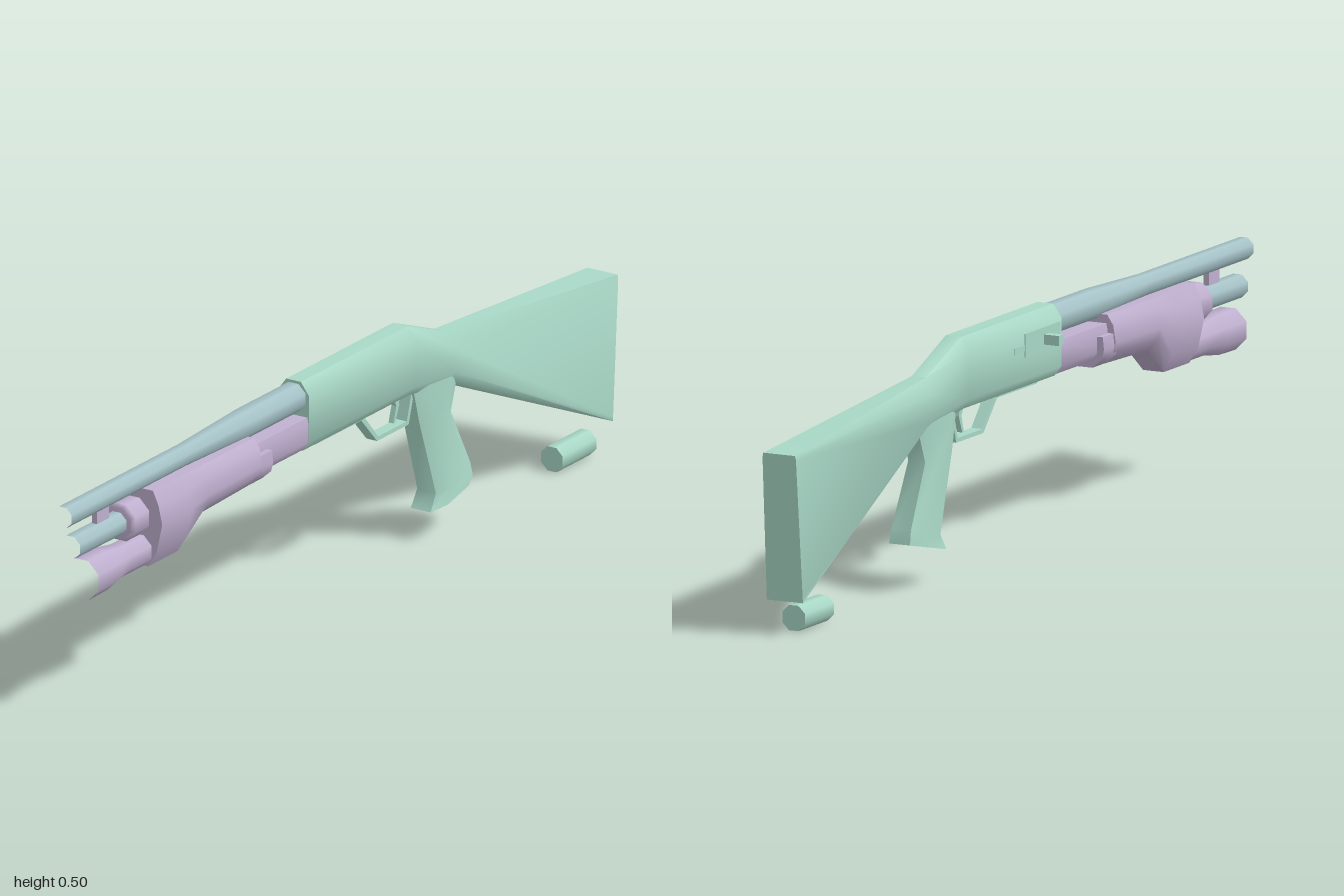
import * as THREE from 'three';
import { toCreasedNormals } from 'three/addons/utils/BufferGeometryUtils.js';

const CX = 0.007; // long axis of the model

const green = new THREE.MeshStandardMaterial({ color: 0xa9d8c7 });
green.name = 'mint green';
const purple = new THREE.MeshStandardMaterial({ color: 0xc0b0d0 });
purple.name = 'soft purple';
const steel = new THREE.MeshStandardMaterial({ color: 0xa6c3c8 });
steel.name = 'blue grey';

// Skin a row of closed cross-sections and cap both ends
function loft(rings) {
  const n = rings[0].length, pos = rings.flat(2), idx = [];
  for (let i = 0; i < rings.length - 1; i++) {
    for (let j = 0; j < n; j++) {
      const k = (j + 1) % n;
      const a = i * n + j, b = i * n + k, c = a + n, d = b + n;
      idx.push(a, c, b, b, c, d);
    }
  }
  const last = (rings.length - 1) * n;
  for (let j = 1; j < n - 1; j++) {
    idx.push(0, j, j + 1);
    idx.push(last, last + j + 1, last + j);
  }
  const g = new THREE.BufferGeometry();
  g.setAttribute('position', new THREE.Float32BufferAttribute(pos, 3));
  g.setIndex(idx);
  return toCreasedNormals(g, 0.9);
}

// Mirrored section: half lists [x, v] from bottom to top, v runs 0 (bottom) to 1 (top)
function section(zt, yt, zb, yb, half) {
  const point = (s) => ([x, v]) => [CX + s * x, yb + (yt - yb) * v, zb + (zt - zb) * v];
  return [...half.map(point(1)), ...[...half].reverse().map(point(-1))];
}

// Eight-sided tube along z from [radius, z] pairs, flat side up
function tube(profile, y) {
  const pts = profile.map(([r, z]) => new THREE.Vector2(r / Math.cos(Math.PI / 8), z));
  const g = new THREE.LatheGeometry(pts, 8, Math.PI / 8);
  g.rotateX(Math.PI / 2);
  g.translate(CX, y, 0);
  return g;
}

function box(x, y, z, w, h, d) {
  return new THREE.BoxGeometry(w, h, d).translate(x, y, z);
}

// Side outline in (z, y), extruded across x
function sidePlate(outline, width, hole) {
  const toShape = (p) => p.map(([z, y]) => new THREE.Vector2(-z, y));
  const shape = new THREE.Shape(toShape(outline));
  if (hole) shape.holes.push(new THREE.Path(toShape(hole)));
  const g = new THREE.ExtrudeGeometry(shape, { depth: width, bevelEnabled: false });
  return g.translate(0, 0, -width / 2).rotateY(Math.PI / 2).translate(CX, 0, 0);
}

export function createModel() {
  const group = new THREE.Group();
  const add = (name, geometry, material) => {
    const mesh = new THREE.Mesh(geometry, material);
    mesh.name = name;
    group.add(mesh);
    return mesh;
  };

  // Receiver flowing into the stock
  const receiver = [[0.022, 0], [0.038, 0.14], [0.038, 0.82], [0.018, 1]];
  const wrist = [[0.014, 0], [0.034, 0.25], [0.034, 0.72], [0.016, 1]];
  const butt = [[0.042, 0], [0.042, 0.03], [0.039, 0.97], [0.037, 1]];
  add('receiverAndStock', loft([
    section(0.145, 0.495, 0.145, 0.345, receiver),
    section(-0.25, 0.495, -0.25, 0.345, receiver),
    section(-0.4, 0.436, -0.41, 0.318, wrist),
    section(-1, 0.38, -0.975, 0.068, butt),
  ]), green);

  // Pistol grip: rings from top to bottom [front z, front y, back z, back y, half width]
  const grip = [
    [-0.265, 0.37, -0.44, 0.35, 0.03],
    [-0.275, 0.335, -0.425, 0.305, 0.031],
    [-0.29, 0.275, -0.408, 0.26, 0.033],
    [-0.348, 0.1, -0.475, 0.13, 0.038],
    [-0.326, 0.065, -0.482, 0.1, 0.041],
  ].map(([zf, yf, zb, yb, w]) => {
    const at = (x, t) => [CX + x * w, yf + (yb - yf) * t, zf + (zb - zf) * t];
    return [at(0.6, 0), at(1, 0.25), at(1, 0.75), at(0.6, 1),
      at(-0.6, 1), at(-1, 0.75), at(-1, 0.25), at(-0.6, 0)];
  });
  add('grip', loft(grip), green);

  // Trigger guard and trigger
  add('triggerGuard', sidePlate(
    [[-0.075, 0.35], [-0.145, 0.275], [-0.262, 0.275], [-0.285, 0.35]], 0.026,
    [[-0.094, 0.346], [-0.149, 0.284], [-0.255, 0.284], [-0.274, 0.346]]), green);
  add('trigger', sidePlate(
    [[-0.212, 0.35], [-0.227, 0.325], [-0.216, 0.29], [-0.223, 0.289],
      [-0.238, 0.325], [-0.232, 0.35]], 0.012), green);

  // Loading plate below, bolt, slot and charging handle on the right side
  add('loadingPlate', box(CX, 0.343, 0, 0.03, 0.008, 0.17), green);
  add('boltPlate', box(-0.031, 0.437, 0.06, 0.006, 0.05, 0.15), green);
  add('boltSlot', box(-0.031, 0.432, -0.035, 0.004, 0.014, 0.05), green);
  add('chargingHandle', box(-0.049, 0.436, 0.075, 0.038, 0.021, 0.02), green);

  // Barrel and magazine tube, open at the front
  add('barrel', tube([[0.03, 0.14], [0.03, 0.34], [0.022, 0.56], [0.022, 1]], 0.459), steel);
  add('magazineTube', tube([[0.024, 0.14], [0.024, 0.972]], 0.385), steel);

  // Magazine clamp and post up to the barrel
  add('magazineClamp', tube([[0, 0.732], [0.033, 0.732], [0.04, 0.74], [0.04, 0.79],
    [0.033, 0.8], [0, 0.8]], 0.385), purple);
  add('barrelPost', box(CX, 0.427, 0.86, 0.013, 0.044, 0.045), purple);

  // Slide arm between the fore-end and the receiver
  add('slideArm', loft([0.4, 0.14].map((z) => section(z, 0.42, z, 0.348,
    [[0.024, 0], [0.037, 0.25], [0.037, 0.8], [0.034, 1]]))), purple);

  // Fore-end: rear cradle, main body and deep front housing
  const slim = [[0.026, 0], [0.05, 0.25], [0.056, 0.45], [0.05, 0.8], [0.036, 1]];
  const deep = [[0.024, 0], [0.045, 0.2], [0.059, 0.58], [0.05, 0.82], [0.036, 1]];
  add('foreEnd', loft([
    section(0.72, 0.438, 0.72, 0.27, deep),
    section(0.61, 0.438, 0.61, 0.27, deep),
    section(0.54, 0.438, 0.54, 0.328, slim),
    section(0.345, 0.438, 0.345, 0.334, slim),
  ]), purple);
  add('foreEndCradle', loft([0.36, 0.3].map((z) => section(z, 0.4, z, 0.334,
    [[0.026, 0], [0.048, 0.3], [0.053, 0.6], [0.05, 1]]))), purple);

  // Lamp under the magazine tube
  add('lamp', tube([[0.033, 0.71], [0.033, 0.8], [0.042, 0.86], [0.043, 0.932]], 0.303), purple);

  // Loose cartridge
  add('cartridge', tube([[0, -0.937], [0.0265, -0.937], [0.0265, -0.937], [0.0265, -0.812],
    [0.0265, -0.812], [0, -0.812]], 0.0265), green);

  return group;
}
